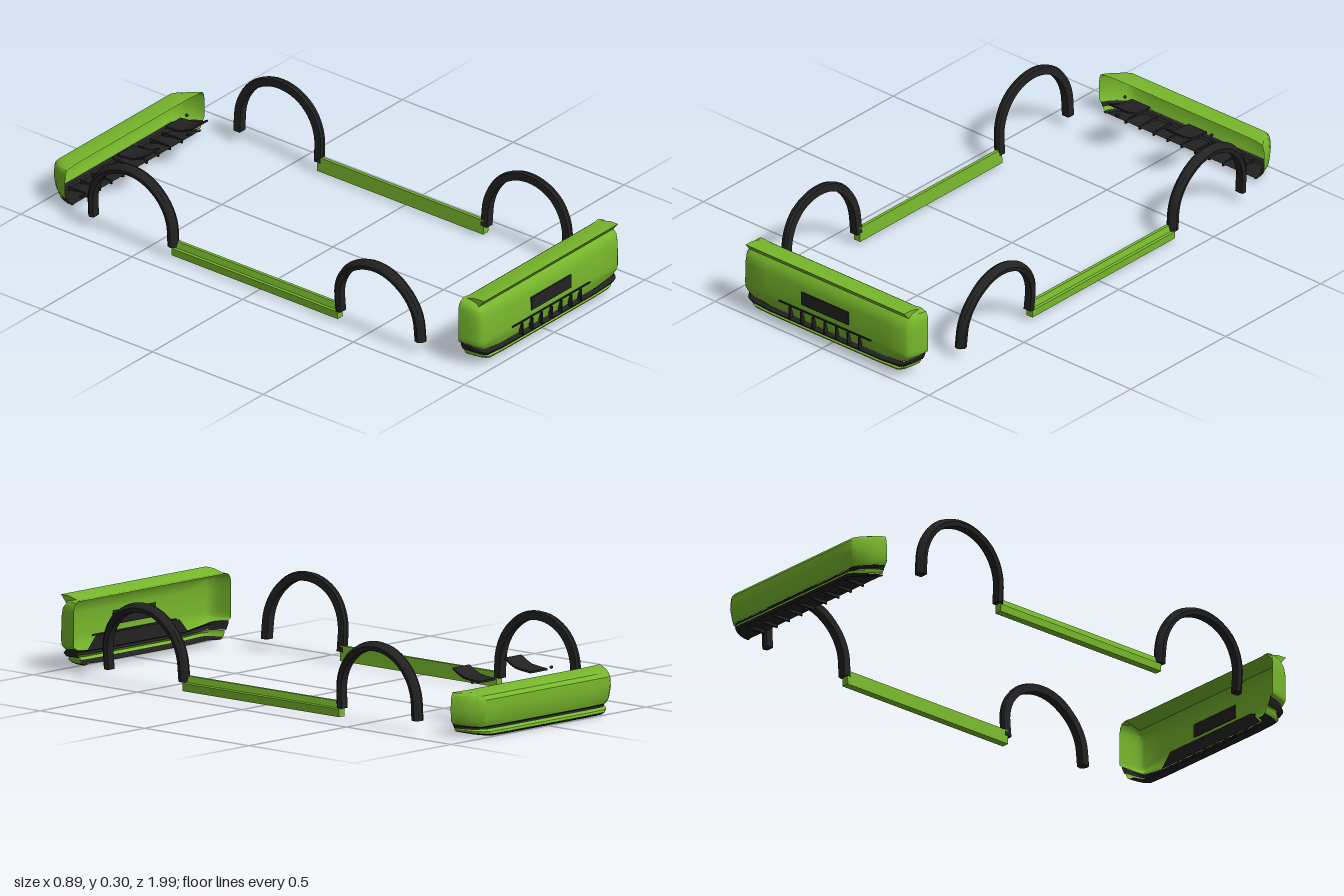
import * as THREE from 'three';
import { toCreasedNormals } from 'three/addons/utils/BufferGeometryUtils.js';

const green = new THREE.MeshStandardMaterial({ color: 0x78b82c, side: THREE.DoubleSide });
green.name = 'body green';
const black = new THREE.MeshStandardMaterial({ color: 0x222222, side: THREE.DoubleSide });
black.name = 'trim black';

function add(group, name, geometry, material) {
  const mesh = new THREE.Mesh(geometry, material);
  mesh.name = name;
  group.add(mesh);
  return mesh;
}

function box(group, name, w, h, d, x, y, z, material) {
  const mesh = add(group, name, new THREE.BoxGeometry(w, h, d), material);
  mesh.position.set(x, y, z);
  return mesh;
}

// Skin between successive rows of points; closed rows are tubes with capped ends
function loft(rows, closed = false) {
  const n = rows[0].length, index = [];
  for (let i = 0; i < rows.length - 1; i++) {
    for (let j = 0; j < (closed ? n : n - 1); j++) {
      const a = i * n + j, b = i * n + (j + 1) % n;
      index.push(a, a + n, b, b, a + n, b + n);
    }
  }
  if (closed) {
    const last = (rows.length - 1) * n;
    for (let j = 1; j < n - 1; j++) index.push(0, j, j + 1, last, last + j + 1, last + j);
  }
  const g = new THREE.BufferGeometry();
  g.setAttribute('position', new THREE.Float32BufferAttribute(rows.flat(2), 3));
  g.setIndex(index);
  return toCreasedNormals(g, 0.6);
}

// Bumper contour: half plan given as [inset from half width, fraction of depth]
function contour(plan, { y, hw, z, back, rise = 0 }) {
  const half = plan.map(([inset, t]) => [hw - inset, back + (z - back) * t]);
  for (const f of [0.75, 0.4]) half.push([(hw - plan.at(-1)[0]) * f, z]);
  const all = [...half, ...half.map(([x, d]) => [-x, d]).reverse()];
  return all.map(([x, d]) => [x, y + rise * Math.pow(Math.abs(x) / hw, 10), d]);
}

function skin(group, name, plan, back, rows, material) {
  return add(group, name, loft(rows.map(([y, hw, z, rise]) =>
    contour(plan, { y, hw, z, back, rise }))), material);
}

function frontBumper() {
  const g = new THREE.Group();
  g.name = 'frontBumper';
  const plan = [[0, 0], [0.006, 0.45], [0.013, 0.75], [0.022, 0.92], [0.034, 1]];
  const back = 0.895;
  skin(g, 'frontBumperShell', plan, back, [
    [0.265, 0.36, 0.90], [0.265, 0.375, 0.945], [0.258, 0.392, 0.957], [0.245, 0.4, 0.965],
    [0.232, 0.402, 0.976], [0.2, 0.403, 0.982], [0.12, 0.403, 0.984],
    [0.102, 0.402, 0.983], [0.085, 0.4, 0.978, 0.015], [0.064, 0.39, 0.972, 0.03],
  ], green);
  skin(g, 'frontTrimBand', plan, back, [
    [0.064, 0.391, 0.973, 0.03], [0.055, 0.388, 0.986, 0.025], [0.047, 0.378, 0.98, 0.015],
  ], black);
  skin(g, 'frontLowerStrip', plan, back, [
    [0.05, 0.37, 0.972, 0.012], [0.04, 0.368, 0.982, 0.01], [0.031, 0.362, 0.975, 0.008],
  ], green);
  skin(g, 'frontSplitter', plan, back, [
    [0.031, 0.362, 0.975, 0.008], [0.024, 0.352, 0.962, 0.008], [0.024, 0.33, 0.93, 0.008],
  ], black);

  // Flared lip along the top edge
  const lip = [[0.262, 0.895], [0.276, 0.95], [0.277, 0.986], [0.246, 0.96]];
  add(g, 'frontTopLip', loft([-0.371, 0.371].map(x => lip.map(([y, z]) => [x, y, z])), true), green);

  // Plate through the panel, seen on both sides
  box(g, 'frontPlate', 0.22, 0.05, 0.008, 0, 0.16, 0.984, black);

  // Grille bars, and its backing inside the shell
  box(g, 'grilleTopBar', 0.43, 0.005, 0.01, 0, 0.111, 0.983, black);
  for (let i = -3; i <= 3; i++)
    box(g, 'grilleBar', 0.006, 0.046, 0.016, i * 0.054, 0.083, 0.983, black);
  const s = new THREE.Shape([[-0.26, 0.062], [0.26, 0.062], [0.215, 0.112], [-0.215, 0.112]]
    .map(p => new THREE.Vector2(...p)));
  add(g, 'grilleBacking', new THREE.ShapeGeometry(s), black).position.z = 0.966;
  return g;
}

function rearBumper() {
  const g = new THREE.Group();
  g.name = 'rearBumper';
  const plan = [[0, 0], [0.01, 0.3], [0.027, 0.6], [0.05, 0.87], [0.07, 1]];
  const back = -0.893;
  skin(g, 'rearBumperShell', plan, back, [
    [0.162, 0.372, -0.9], [0.161, 0.378, -0.955], [0.152, 0.382, -0.985], [0.138, 0.385, -0.996],
    [0.1, 0.387, -0.998], [0.06, 0.385, -0.99], [0.04, 0.378, -0.982, 0.01],
  ], green);
  skin(g, 'rearTrimBand', plan, back, [
    [0.04, 0.378, -0.981, 0.01], [0.034, 0.372, -0.97, 0.008], [0.028, 0.37, -0.98, 0.006],
  ], black);
  skin(g, 'rearLowerStrip', plan, back, [
    [0.029, 0.368, -0.98, 0.006], [0.023, 0.366, -0.994, 0.006], [0.014, 0.36, -0.996, 0.008],
  ], green);
  // Underside panel with fins
  skin(g, 'diffuserPanel', plan, -0.885, [
    [0.014, 0.36, -0.997, 0.008], [0.006, 0.35, -0.99, 0.012], [0.018, 0.345, -0.94, 0.004],
    [0.022, 0.335, -0.885],
  ], black);
  for (let i = -4; i <= 4; i++)
    box(g, 'diffuserFin', 0.006, 0.014, 0.09, i * 0.065, 0.016, -0.935, black);
  return g;
}

// Wheel arch trim: straight legs joined by a half circle, leaning outwards higher up
function archTrim(name, zc, lean) {
  const r = 0.183, yc = 0.108, foot = 0.048, path = [[foot, r, 0]];
  for (let i = 0; i <= 28; i++) path.push([yc, r, Math.PI * i / 28]);
  path.push([foot, r, Math.PI]);
  const section = [[-0.016, 0], [0.013, 0], [0.017, 0.01], [0.013, 0.024], [0, 0.035], [-0.016, 0.031]];
  const rows = path.map(([y0, radius, a]) => section.map(([dr, dx]) => {
    const y = y0 + (radius + dr) * Math.sin(a);
    const out = lean * Math.min(1, (y - foot) / 0.2);
    return [0.39 + out + dx, y, zc + (radius + dr) * Math.cos(a)];
  }));
  const g = new THREE.Group();
  g.name = name;
  add(g, name + 'Trim', loft(rows, true), black);
  return g;
}

function sideSkirt() {
  const g = new THREE.Group();
  g.name = 'sideSkirt';
  const section = [[0.392, 0.07], [0.404, 0.07], [0.41, 0.047], [0.418, 0.044], [0.417, 0.016], [0.389, 0.016]];
  add(g, 'skirtPanel', loft([0.362, -0.388].map(z => section.map(([x, y]) => [x, y, z])), true), green);
  return g;
}

// Curved mud flap and its small fixing
function mudFlap() {
  const g = new THREE.Group();
  g.name = 'mudFlap';
  const profile = [[0.2, -0.706], [0.186, -0.73], [0.174, -0.757], [0.17, -0.785], [0.166, -0.83]];
  const loop = [...profile, ...profile.map(([y, z]) => [y - 0.007, z]).reverse()];
  const s = new THREE.Shape(loop.map(([y, z]) => new THREE.Vector2(-z, y)));
  const geo = new THREE.ExtrudeGeometry(s, { depth: 0.086, bevelEnabled: false });
  geo.rotateY(Math.PI / 2);
  add(g, 'flapPlate', geo, black).position.x = 0.09;
  const pin = add(g, 'flapPin', new THREE.SphereGeometry(0.006, 8, 6), black);
  pin.position.set(0.203, 0.166, -0.824);
  box(g, 'bumperClip', 0.012, 0.008, 0.014, 0.296, 0.03, -0.889, black);
  return g;
}

export function createModel() {
  const model = new THREE.Group();
  model.name = 'carBodyKit';
  model.add(frontBumper(), rearBumper());
  // Parts repeated on both sides
  for (const side of [1, -1]) {
    const half = new THREE.Group();
    half.name = side > 0 ? 'leftSide' : 'rightSide';
    half.add(archTrim('frontArch', 0.545, 0.02), archTrim('rearArch', -0.57, 0.011), sideSkirt(), mudFlap());
    half.scale.x = side;
    model.add(half);
  }
  return model;
}
